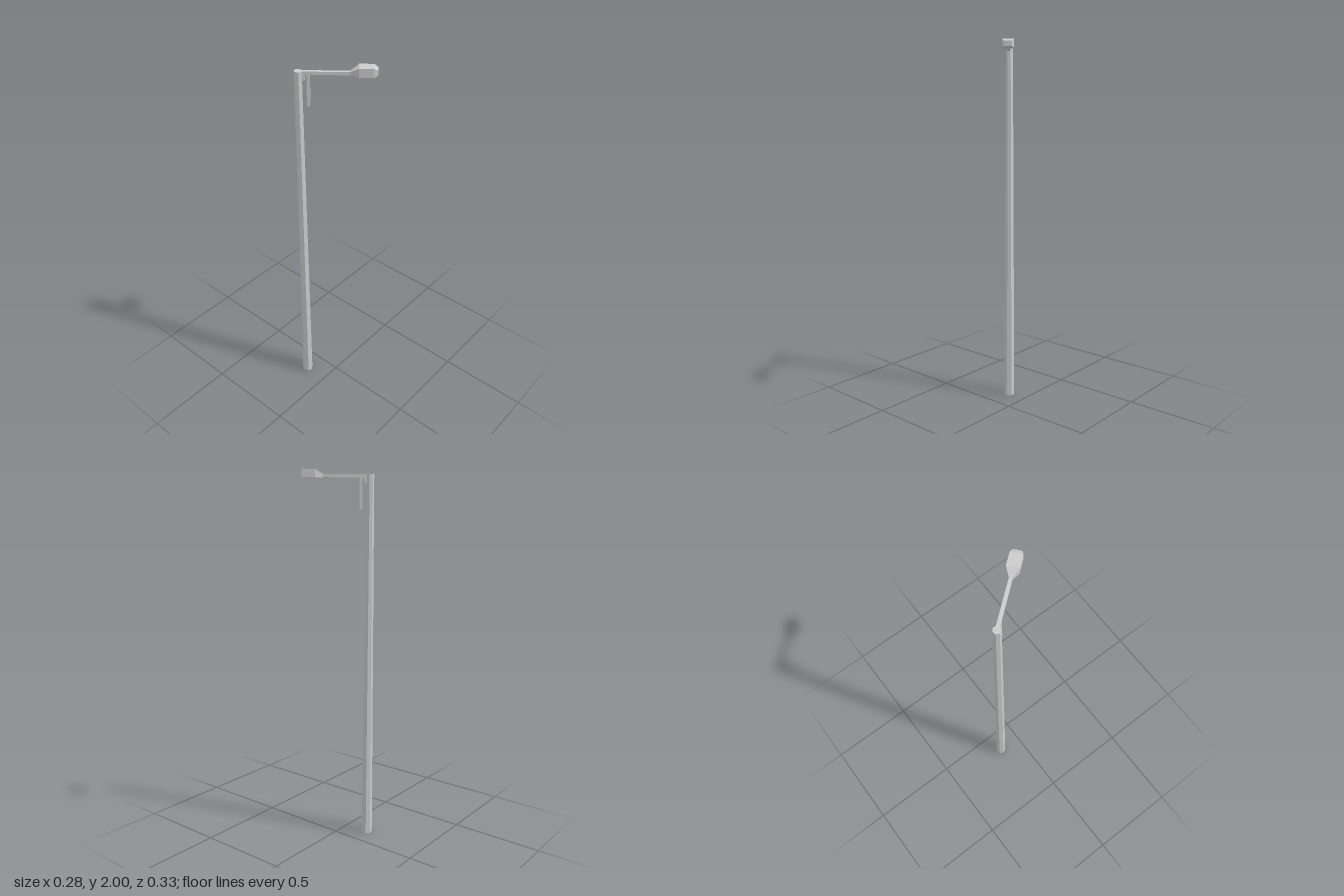
import * as THREE from 'three';

const material = new THREE.MeshStandardMaterial({ color: 0xcccccc, flatShading: true });

function mesh(name, geometry) {
  const m = new THREE.Mesh(geometry, material);
  m.name = name;
  return m;
}

// Skin rectangular sections [x, width, bottom, top] along x, with end caps
function loft(sections) {
  const pos = [], index = [];
  for (const [x, w, b, t] of sections) {
    pos.push(x, b, -w / 2, x, b, w / 2, x, t, w / 2, x, t, -w / 2);
  }
  const quad = (a, b, c, d) => index.push(a, b, c, a, c, d);
  for (let i = 0; i < sections.length - 1; i++) {
    for (let k = 0; k < 4; k++) {
      const a = i * 4 + k, b = i * 4 + (k + 1) % 4;
      quad(a, a + 4, b + 4, b);
    }
  }
  const e = (sections.length - 1) * 4;
  quad(0, 1, 2, 3);
  quad(e + 3, e + 2, e + 1, e);
  const g = new THREE.BufferGeometry();
  g.setAttribute('position', new THREE.Float32BufferAttribute(pos, 3));
  g.setIndex(index);
  const flat = g.toNonIndexed();
  flat.computeVertexNormals();
  return flat;
}

export function createModel() {
  const model = new THREE.Group();
  model.name = 'streetLamp';

  // Tapered seven-sided pole
  const pole = mesh('pole', new THREE.CylinderGeometry(0.0197, 0.0295, 1.975, 7, 1, false, -Math.PI / 2));
  pole.position.set(-0.1105, 1.975 / 2, -0.136);
  model.add(pole);

  // Everything on the arm lies along local +x, away from the pole
  const head = new THREE.Group();
  head.name = 'armAssembly';
  head.position.set(-0.1105, 0, -0.136);
  head.rotation.y = -0.888;
  model.add(head);

  // Collar block joining the arm to the pole
  head.add(mesh('collar', loft([
    [0.005, 0.0172, 1.93, 1.975],
    [0.031, 0.0172, 1.93, 1.975],
  ])));

  // Horizontal arm
  head.add(mesh('arm', loft([
    [0.031, 0.0172, 1.959, 1.975],
    [0.242, 0.0158, 1.959, 1.975],
  ])));

  // Short rod hanging below the arm
  const rod = mesh('hangingRod', new THREE.BoxGeometry(0.016, 0.162, 0.016));
  rod.position.set(0.047, 1.881, 0);
  head.add(rod);

  // Flared lamp housing with a bevelled tip
  head.add(mesh('lampHousing', loft([
    [0.240, 0.0158, 1.959, 1.975],
    [0.280, 0.060, 1.957, 2.0],
    [0.348, 0.059, 1.957, 2.0],
    [0.368, 0.041, 1.965, 1.990],
  ])));

  return model;
}
